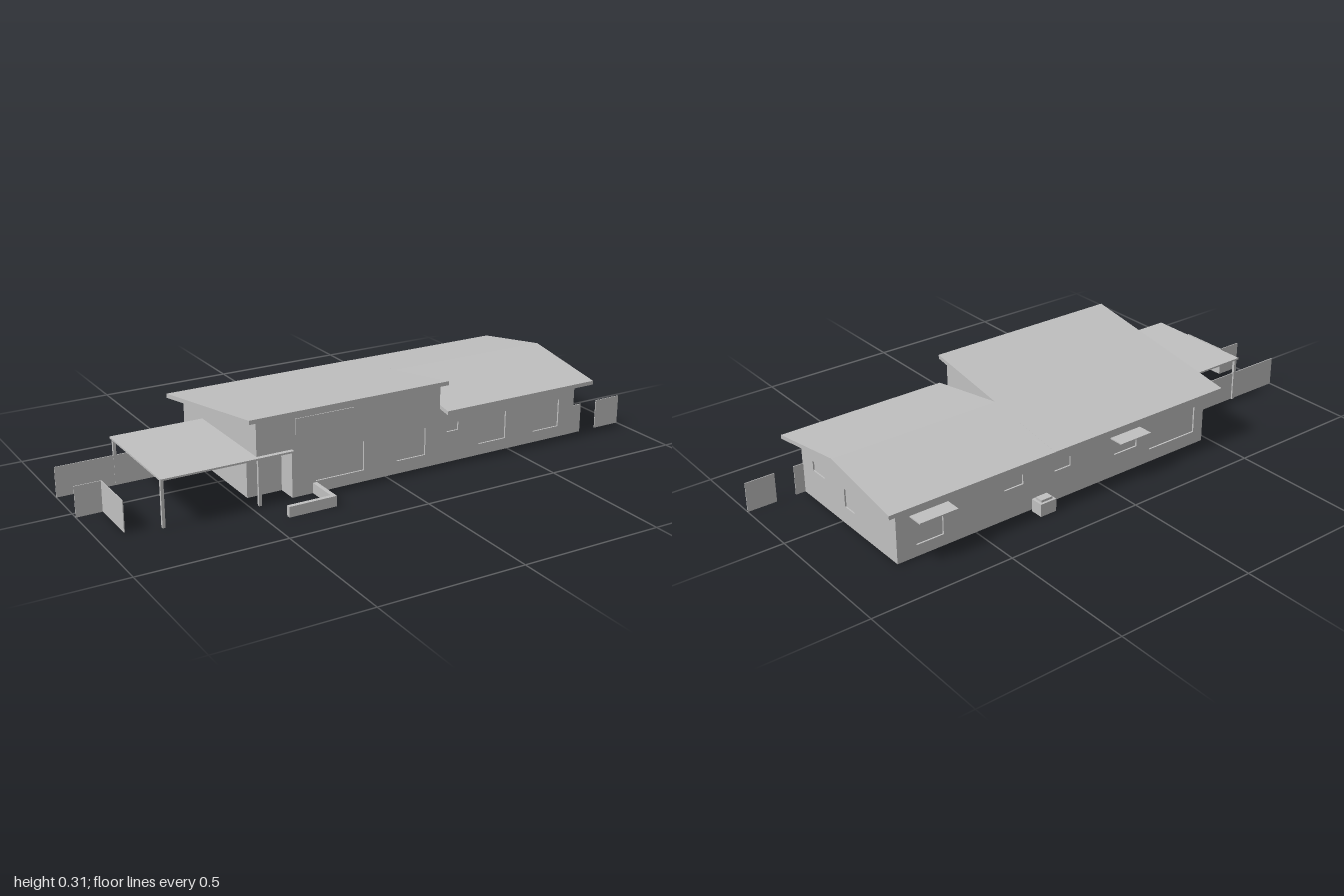
import * as THREE from 'three';

const plaster = new THREE.MeshStandardMaterial({ color: 0xc0c0c0 });
plaster.name = 'light grey';

export function createModel() {
  const model = new THREE.Group();
  model.name = 'house';

  const add = (name, geometry) => {
    const mesh = new THREE.Mesh(geometry, plaster);
    mesh.name = name;
    model.add(mesh);
    return mesh;
  };
  // Box given by its extents on each axis
  const box = (name, x0, x1, y0, y1, z0, z1) => {
    const mesh = add(name, new THREE.BoxGeometry(x1 - x0, y1 - y0, z1 - z0));
    mesh.position.set((x0 + x1) / 2, (y0 + y1) / 2, (z0 + z1) / 2);
    return mesh;
  };
  // Outline with rectangular openings [u0, u1, v0, v1], extruded
  const slab = (name, points, depth, holes = []) => {
    const shape = new THREE.Shape(points.map(([u, v]) => new THREE.Vector2(u, v)));
    for (const [u0, u1, v0, v1] of holes) {
      shape.holes.push(new THREE.Path([[u0, v0], [u0, v1], [u1, v1], [u1, v0]]
        .map(([u, v]) => new THREE.Vector2(u, v))));
    }
    return add(name, new THREE.ExtrudeGeometry(shape, { depth, bevelEnabled: false }));
  };
  // Outline drawn in (z, y), extruded from x1 towards -x
  const crossSlab = (name, points, x1, depth, holes) => {
    const mesh = slab(name, points, depth, holes);
    mesh.rotation.y = -Math.PI / 2;
    mesh.position.x = x1;
    return mesh;
  };

  const T = 0.012; // wall thickness
  const roofTop = (z) => 0.251 + z * 0.1654;
  const under = (z) => roofTop(z) - 0.014;
  const ridge = -0.037, eave = 0.285, rear = -0.353;

  // Roof: one long slope, with a lower gable over the +x wing
  crossSlab('mainRoof', [[rear, under(rear) - 0.001], [eave, under(eave)],
    [eave, roofTop(eave) + 0.012 - 0.0], [rear, roofTop(rear) + 0.012]]
    .map(([z, y], i) => [z, i < 2 ? y + 0.012 : y]), 0.215, 0.735);
  crossSlab('gableRoof', [[rear, 0.19], [ridge, 0.243], [eave, 0.19],
    [eave, 0.204], [ridge, 0.257], [rear, 0.204]], 0.835, 0.62);

  // Front wall with the entry cut away below the porch roof
  const frontWindows = [[-0.263, -0.083, 0.04, 0.142], [0.043, 0.157, 0.045, 0.142],
    [0.243, 0.29, 0.11, 0.14], [0.377, 0.49, 0.04, 0.14], [0.61, 0.723, 0.04, 0.14]];
  slab('frontWall', [[-0.35, 0], [0.79, 0], [0.79, 0.198], [0.213, 0.198], [0.213, 0.288],
    [-0.475, 0.288], [-0.475, 0.165], [-0.35, 0.165]], T, frontWindows).position.z = 0.24 - T;
  for (const [x0, x1, y0, y1] of frontWindows) box('frontWindow', x0, x1, y0, y1, 0.229, 0.234);
  box('clerestoryWindow', -0.337, -0.12, 0.213, 0.268, 0.24, 0.243);

  // Back wall
  const backWindows = [[0.62, 0.72, 0.04, 0.14], [0.313, 0.387, 0.106, 0.142],
    [0.12, 0.187, 0.106, 0.142], [-0.167, -0.067, 0.08, 0.142], [-0.433, -0.227, 0.047, 0.143]];
  slab('backWall', [[-0.475, 0], [0.79, 0], [0.79, 0.198], [-0.475, 0.198]], T, backWindows)
    .position.z = -0.314;
  for (const [x0, x1, y0, y1] of backWindows) box('backWindow', x0, x1, y0, y1, -0.308, -0.303);

  // Gable end wall
  const sideWindows = [[0.1, 0.17, 0.108, 0.143], [-0.075, -0.02, 0.062, 0.127]];
  crossSlab('gableEndWall', [[-0.314, 0], [0.24, 0], [0.24, 0.198], [ridge, 0.244], [-0.314, 0.197]],
    0.79, T, sideWindows);
  for (const [z0, z1, y0, y1] of sideWindows) box('sideWindow', 0.779, 0.785, y0, y1, z0, z1);

  // Carport end wall, stepped over the recessed entry
  crossSlab('carportEndWall', [[-0.314, 0], [0.167, 0], [0.167, 0.165], [0.24, 0.165],
    [0.24, under(0.24) + 0.013], [-0.314, under(-0.314) + 0.013]], -0.475 + T, T);
  box('entryWall', -0.475, -0.35, 0, 0.165, 0.155, 0.167);
  box('entrySideWall', -0.35, -0.338, 0, 0.165, 0.155, 0.239);

  // Step wall between the high and low roofs
  crossSlab('roofStepWall', [[ridge, 0.244], [0.24, 0.198], [0.24, 0.288], [ridge, 0.25]], 0.213, T);

  // Carport and porch
  box('carportRoof', -0.805, -0.475, 0.161, 0.167, -0.16, 0.256);
  box('porchRoof', -0.475, -0.35, 0.161, 0.167, 0.167, 0.256);
  for (const [x, z] of [[-0.795, 0.238], [-0.795, -0.15], [-0.467, 0.24]]) {
    box('carportPost', x - 0.005, x + 0.005, 0, 0.162, z - 0.005, z + 0.005);
  }

  // Fences
  box('backFence', -1, -0.475, 0, 0.105, -0.149, -0.146);
  box('carportFenceSide', -0.912, -0.909, 0, 0.105, 0.03, 0.21);
  box('carportFenceFront', -1, -0.912, 0, 0.105, 0.03, 0.033);
  box('gateFence', 0.79, 0.825, 0, 0.105, 0.236, 0.239);
  box('outerFence', 0.895, 1, 0, 0.105, 0.236, 0.239);

  // Low planter wall
  box('planterFront', -0.43, -0.26, 0, 0.036, 0.354, 0.369);
  box('planterSide', -0.275, -0.26, 0, 0.036, 0.24, 0.354);

  // Rear awnings and outdoor unit
  for (const [x0, x1] of [[-0.18, -0.05], [0.6, 0.74]]) {
    box('awning', x0, x1, 0.146, 0.15, -0.369, -0.314);
  }
  box('outdoorUnit', 0.223, 0.285, 0, 0.045, -0.369, -0.322);
  box('outdoorUnitCap', 0.232, 0.276, 0.045, 0.053, -0.36, -0.331);

  // Interior partitions with doorways
  for (const [x0, x1] of [[-0.46, -0.2], [-0.13, 0.08], [0.15, 0.4], [0.47, 0.78]]) {
    box('spineWall', x0, x1, 0, 0.19, -0.035, -0.027);
  }
  for (const [x, z0, z1] of [[-0.2, -0.3, -0.1], [0.08, -0.3, -0.035], [0.23, -0.3, -0.035],
    [0.47, -0.3, -0.1], [0, 0.04, 0.23], [0.21, -0.03, 0.23], [0.34, -0.03, 0.23], [0.55, 0.04, 0.23]]) {
    box('partition', x - 0.004, x + 0.004, 0, 0.19, z0, z1);
  }

  // Furniture blocks: centre x, centre z, width, depth
  for (const [x, z, w, d] of [[0.7, 0.15, 0.11, 0.13], [0.6, 0.05, 0.08, 0.1], [0.56, -0.18, 0.12, 0.14],
    [0.26, 0.08, 0.07, 0.1], [0.34, -0.25, 0.1, 0.08], [0.32, -0.11, 0.07, 0.08], [-0.02, -0.12, 0.1, 0.09],
    [0.1, -0.26, 0.1, 0.06], [-0.16, 0.08, 0.13, 0.08], [-0.34, 0.08, 0.09, 0.08], [-0.32, -0.18, 0.14, 0.12]]) {
    box('furniture', x - w / 2, x + w / 2, 0.005, 0.04, z - d / 2, z + d / 2);
  }
  return model;
}
